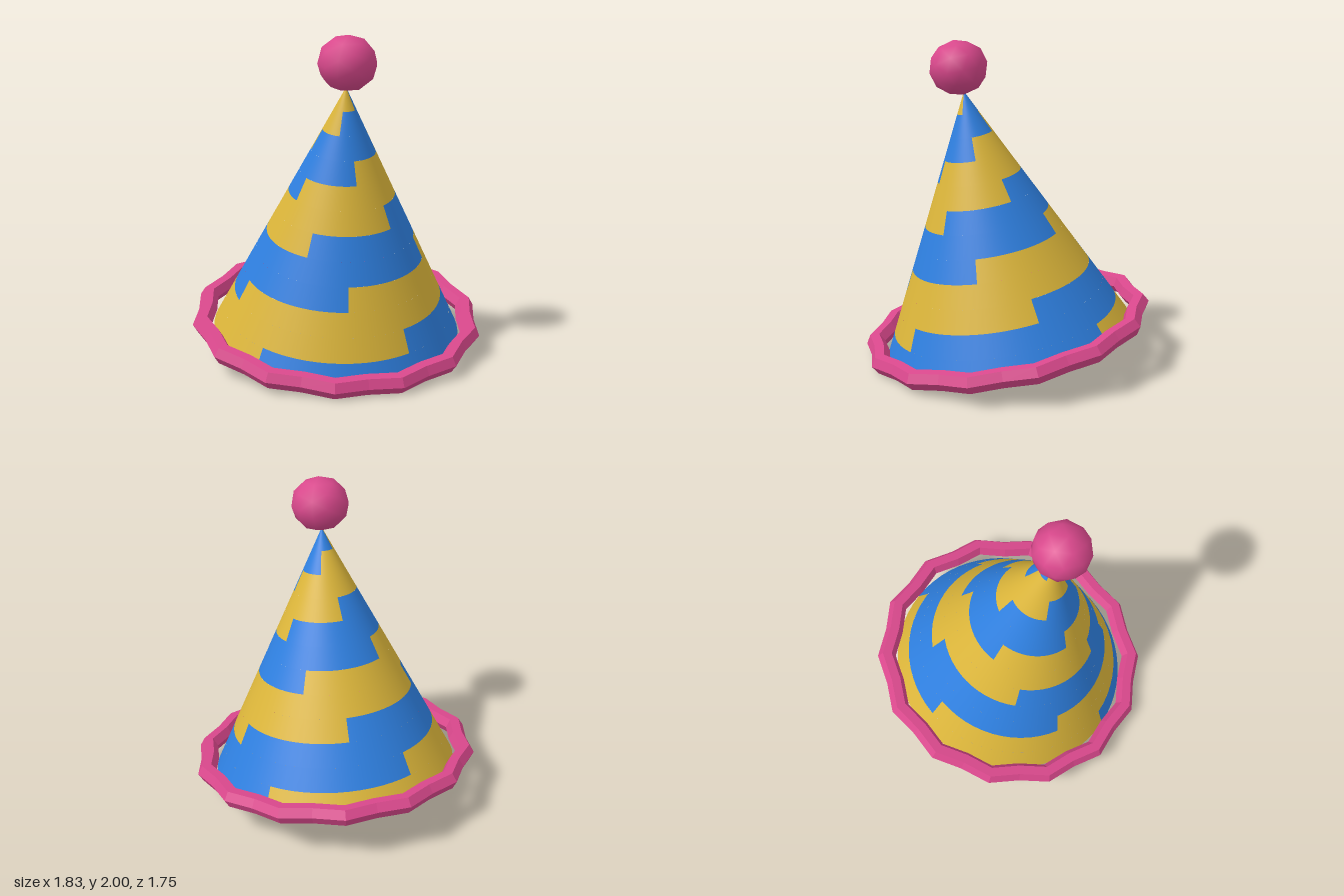
import * as THREE from 'three';
import { mergeGeometries } from 'three/addons/utils/BufferGeometryUtils.js';

const RADIUS = 0.775, HEIGHT = 1.57, ROWS = 12;
const rad = THREE.MathUtils.degToRad;

function makeMaterial(name, color) {
  const material = new THREE.MeshStandardMaterial({ color });
  material.name = name;
  return material;
}

function makeMesh(name, geometry, material) {
  const mesh = new THREE.Mesh(geometry, material);
  mesh.name = name;
  return mesh;
}

// Stepped spiral: each row of the cone is half one colour, turned a little more than the row below
function spiralGeometry(startDegrees) {
  const rowHeight = HEIGHT / ROWS;
  const rows = [];
  for (let r = 0; r < ROWS; r++) {
    const bottom = RADIUS * (1 - r / ROWS);
    const top = RADIUS * (1 - (r + 1) / ROWS);
    const start = rad(startDegrees + 74.5 * r);
    const row = new THREE.CylinderGeometry(top, bottom, rowHeight, 32, 1, true, start, Math.PI);
    rows.push(row.translate(0, (r + 0.5) * rowHeight, 0));
  }
  return mergeGeometries(rows);
}

// Faceted hexagonal ring whose radius dips at every second section
function rimGeometry() {
  const sections = 28;
  const torus = new THREE.TorusGeometry(0.853, 0.06, 6, sections).rotateX(Math.PI / 2);
  const p = torus.attributes.position;
  for (let i = 0; i < p.count; i++) {
    if ((i % (sections + 1)) % 2 === 1) p.setXYZ(i, p.getX(i) * 0.96, p.getY(i), p.getZ(i) * 0.96);
  }
  const faceted = torus.toNonIndexed();
  faceted.computeVertexNormals();
  return faceted;
}

export function createModel() {
  const blue = makeMaterial('blue', 0x2e7fdf);
  const yellow = makeMaterial('yellow', 0xdbb53a);
  const pink = makeMaterial('pink', 0xd9488c);

  // Whole hat leans forward around the centre of its base
  const hat = new THREE.Group();
  hat.name = 'partyHat';
  hat.rotation.x = rad(10);
  hat.position.set(0, 0.15, -0.01);

  // Cone and its closed base
  hat.add(makeMesh('yellowSpiral', spiralGeometry(-230), yellow));
  hat.add(makeMesh('blueSpiral', spiralGeometry(-50), blue));
  hat.add(makeMesh('coneBase', new THREE.CircleGeometry(RADIUS, 64).rotateX(Math.PI / 2), blue));

  // Rim
  const rim = makeMesh('rim', rimGeometry(), pink);
  rim.position.y = 0.057;
  hat.add(rim);

  // Pompom: coarse ball with smooth normals
  const pompom = makeMesh('pompom', new THREE.IcosahedronGeometry(0.178, 1), pink);
  pompom.position.set(0, 1.717, 0.006);
  pompom.scale.y = 0.94;
  hat.add(pompom);

  const model = new THREE.Group();
  model.name = 'model';
  model.add(hat);
  return model;
}
